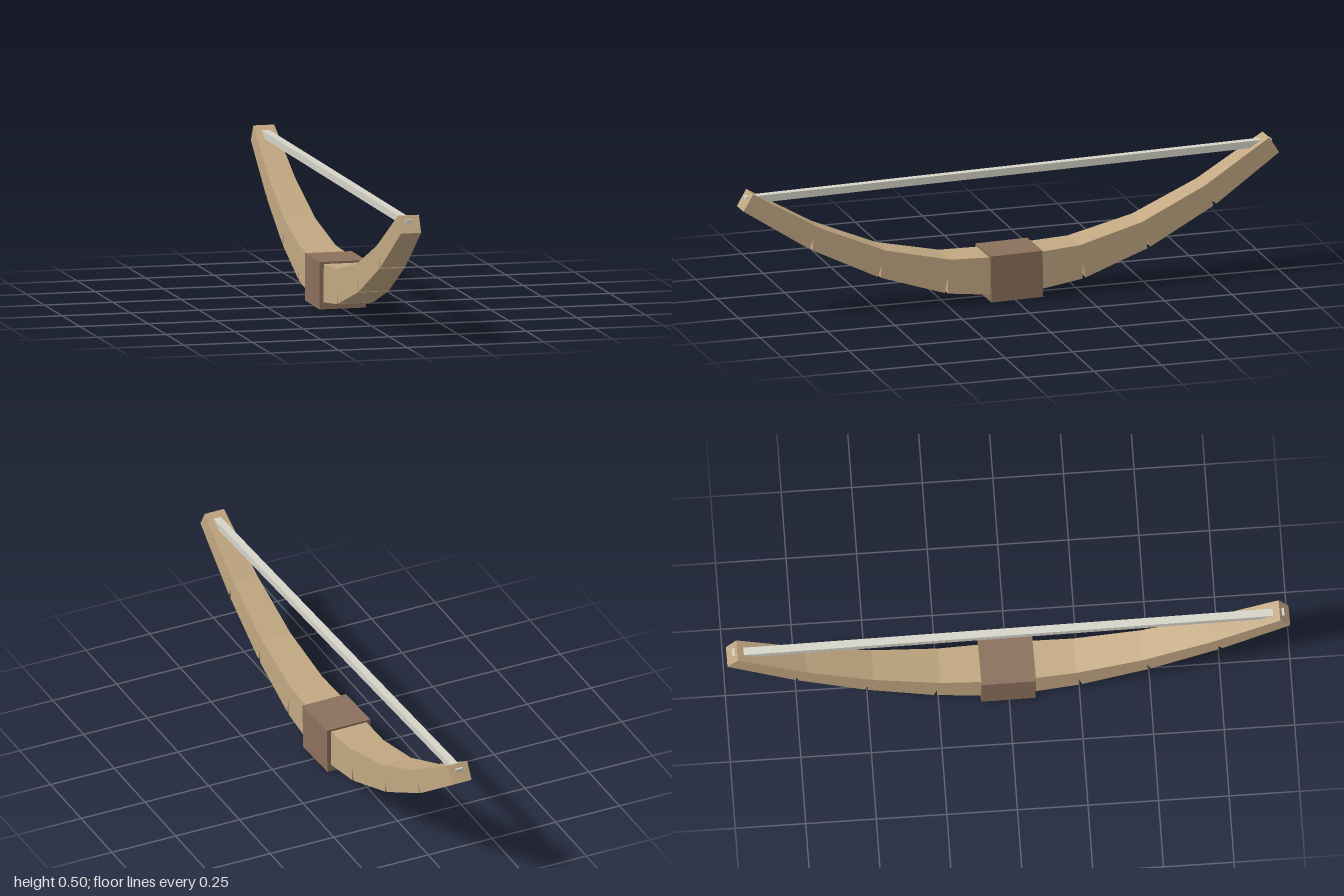
import * as THREE from 'three';

const wood = new THREE.MeshStandardMaterial({ color: 0xc2a882, flatShading: true });
const wrap = new THREE.MeshStandardMaterial({ color: 0x8b705c, flatShading: true });
const cord = new THREE.MeshStandardMaterial({ color: 0xd6d4c8, flatShading: true });

// Limb outline in [z, y]: inner curve out to the tip, notched outer curve back.
const inner = [[0, 0.165], [0.1, 0.165], [0.24, 0.171], [0.477, 0.228], [0.717, 0.335], [0.962, 0.483]];
const outer = [[0.998, 0.424], [0.752, 0.258], [0.502, 0.131], [0.257, 0.048], [0.1, 0.028], [0, 0.027]];
// Notch depth at each outer joint, and how far its point leans toward the grip.
const notches = { 1: [0.036, 0.009], 2: [0.044, 0.008], 3: [0.058, 0.006] };

function limbGeometry() {
  const points = [...inner];
  outer.forEach(([z, y], i) => {
    if (!notches[i]) return points.push([z, y]);
    const [depth, lean] = notches[i];
    const slope = (outer[i - 1][1] - y) / (outer[i - 1][0] - z);
    const half = 0.006;
    points.push([z + half, y + half * slope], [z - lean, y + depth], [z - half, y - half * slope * 0.6]);
  });
  const shape = new THREE.Shape(points.map(([z, y]) => new THREE.Vector2(z, y)));
  const geo = new THREE.ExtrudeGeometry(shape, { depth: 1, bevelEnabled: false });
  geo.translate(0, 0, -0.5).rotateY(-Math.PI / 2);
  // Taper the width toward the tip
  const pos = geo.attributes.position;
  for (let i = 0; i < pos.count; i++) {
    pos.setX(i, pos.getX(i) * 2 * (0.074 - 0.037 * pos.getZ(i)));
  }
  geo.computeVertexNormals();
  return geo;
}

function addBox(parent, name, size, y, material) {
  const mesh = new THREE.Mesh(new THREE.BoxGeometry(...size), material);
  mesh.name = name;
  mesh.position.y = y;
  parent.add(mesh);
}

export function createModel() {
  const model = new THREE.Group();
  model.name = 'bow';

  // The whole bow is turned and tipped very slightly
  const bow = new THREE.Group();
  bow.name = 'bowBody';
  bow.rotation.set(0.015, 0.0145, 0);
  bow.position.z = -0.005;
  model.add(bow);

  // Two matching limbs
  const limb = limbGeometry();
  ['frontLimb', 'backLimb'].forEach((name, i) => {
    const mesh = new THREE.Mesh(limb, wood);
    mesh.name = name;
    mesh.rotation.y = i * Math.PI;
    bow.add(mesh);
  });

  addBox(bow, 'grip', [0.171, 0.17, 0.193], 0.0875, wrap);

  // String passing through both tips
  addBox(bow, 'bowString', [0.028, 0.026, 1.958], 0.456, cord);

  return model;
}
